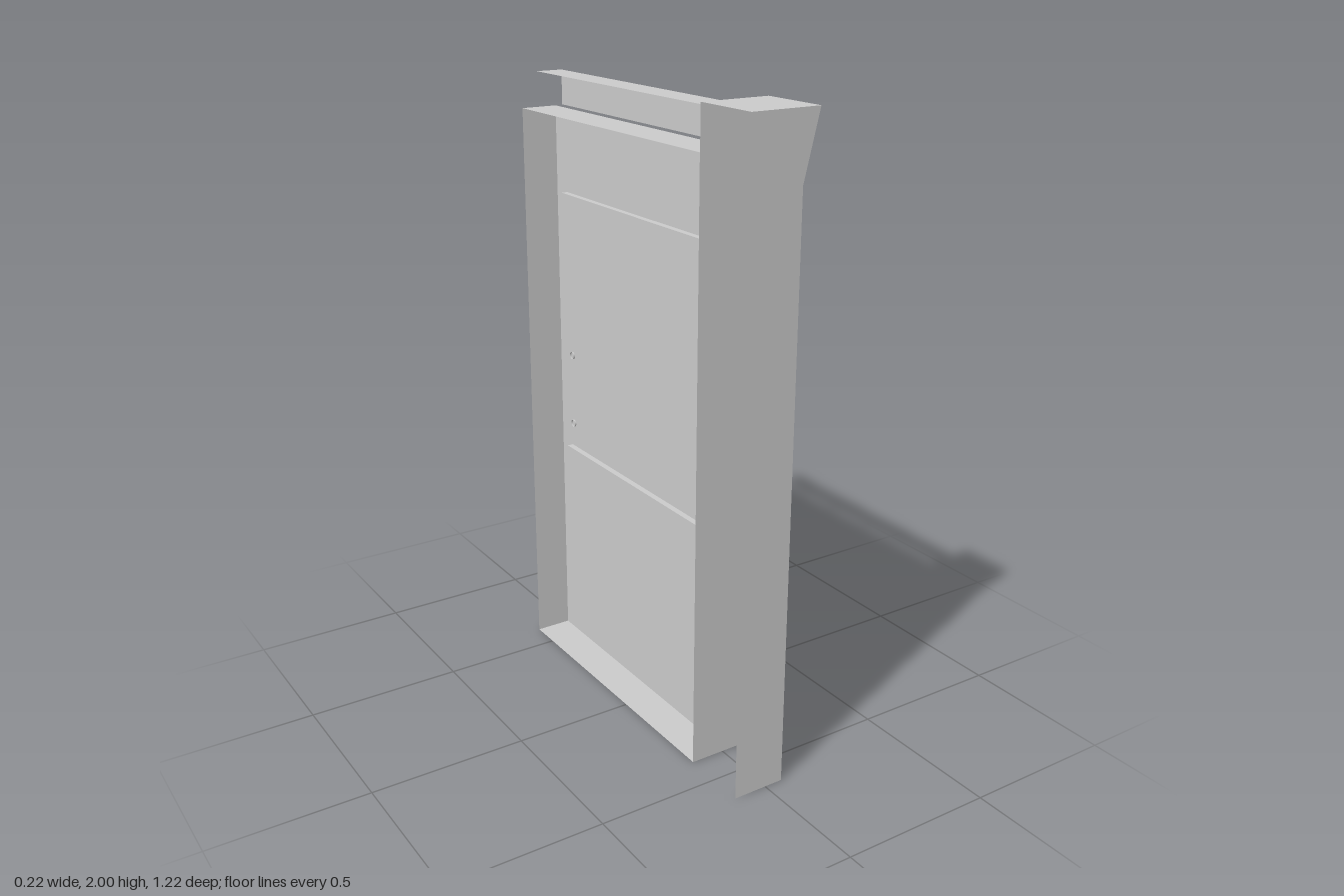
import * as THREE from 'three';

const material = new THREE.MeshStandardMaterial({ color: 0xcccccc, side: THREE.DoubleSide });

function part(name, geometry) {
  const mesh = new THREE.Mesh(geometry, material);
  mesh.name = name;
  return mesh;
}

// Open sheet: an [x, y] profile swept from z0 to z1, with hard or smooth bends
function sheet(profile, z0, z1, smooth = false) {
  const positions = profile.flatMap(([x, y]) => [x, y, z0, x, y, z1]);
  const index = [];
  for (let i = 0; i < profile.length - 1; i++) {
    const a = 2 * i;
    index.push(a, a + 1, a + 2, a + 1, a + 3, a + 2);
  }
  let geometry = new THREE.BufferGeometry();
  geometry.setAttribute('position', new THREE.Float32BufferAttribute(positions, 3));
  geometry.setIndex(index);
  if (!smooth) geometry = geometry.toNonIndexed();
  geometry.computeVertexNormals();
  return geometry;
}

// Flat wall with an [x, y] outline at a given z, facing +z (1) or -z (-1)
function wall(outline, z, facing) {
  const points = outline.map(([x, y]) => new THREE.Vector2(x * facing, y));
  const geometry = new THREE.ShapeGeometry(new THREE.Shape(points));
  if (facing < 0) geometry.rotateY(Math.PI);
  return geometry.translate(0, 0, z);
}

function rectangle(path, x0, y0, x1, y1) {
  path.moveTo(x0, y0).lineTo(x1, y0).lineTo(x1, y1).lineTo(x0, y1).closePath();
  return path;
}

function createColumn() {
  const group = new THREE.Group();
  group.name = 'column';
  const outline = [[-0.11, 2], [0.11, 2], [0.06, 1.8], [0.06, 0], [-0.11, 0]];
  group.add(
    part('columnTop', sheet(outline.slice(0, 2), 0.39, 0.61)),
    part('columnFace', sheet(outline.slice(1, 4), 0.39, 0.61, true)),
    part('columnOuterWall', wall(outline, 0.61, 1)),
    part('columnInnerWall', wall(outline, 0.39, -1))
  );
  return group;
}

function createDoor() {
  const group = new THREE.Group();
  group.name = 'door';
  const back = -0.11, front = 0.01, recess = -0.01, top = 1.87;
  const z0 = -0.6, z1 = 0.389, panelZ0 = -0.535, panelZ1 = 0.32;
  const panels = [[0.215, 0.72], [1.1, 1.6]];

  // Front skin with openings for the recessed panels
  const skin = rectangle(new THREE.Shape(), -z1, 0, -z0, top);
  for (const [y0, y1] of panels) {
    skin.holes.push(rectangle(new THREE.Path(), -panelZ1, y0, -panelZ0, y1));
  }
  const skinGeometry = new THREE.ShapeGeometry(skin).rotateY(Math.PI / 2).translate(front, 0, 0);
  group.add(part('doorFace', skinGeometry));

  // Edges of the shell, open at the back
  const side = [[back, 0], [front, 0], [front, top], [back, top]];
  group.add(
    part('doorTop', sheet([[back, top], [front, top]], z0, z1)),
    part('doorBottom', sheet([[front, 0], [back, 0]], z0, z1)),
    part('doorHandleSide', wall(side, z0, -1)),
    part('doorColumnSide', wall(side, z1, 1))
  );

  // Recessed panels
  for (const [y0, y1] of panels) {
    const profile = [[front, y1], [recess, y1], [recess, y0], [front, y0]];
    group.add(
      part('recessedPanel', sheet(profile, panelZ0, panelZ1)),
      part('panelSide', wall(profile, panelZ0, 1)),
      part('panelSide', wall(profile, panelZ1, -1))
    );
  }
  return group;
}

// Bowed pull handle
function createHandle() {
  const z = -0.52, low = 0.803, high = 1.047, inner = 0.005, outer = 0.033, bend = 0.025;
  const at = (x, y) => new THREE.Vector3(x, y, z);
  const path = new THREE.CurvePath();
  path.add(new THREE.QuadraticBezierCurve3(at(inner, low), at(outer, low), at(outer, low + bend)));
  path.add(new THREE.LineCurve3(at(outer, low + bend), at(outer, high - bend)));
  path.add(new THREE.QuadraticBezierCurve3(at(outer, high - bend), at(outer, high), at(inner, high)));
  return part('handle', new THREE.TubeGeometry(path, 60, 0.0125, 12));
}

export function createModel() {
  const model = new THREE.Group();
  model.name = 'slidingDoor';
  // Angled cover over the top of the door
  const header = part('header', sheet([[-0.05, 1.98], [0.04, 1.98], [0.04, 1.87]], -0.61, 0.39));
  model.add(createColumn(), createDoor(), createHandle(), header);
  return model;
}
